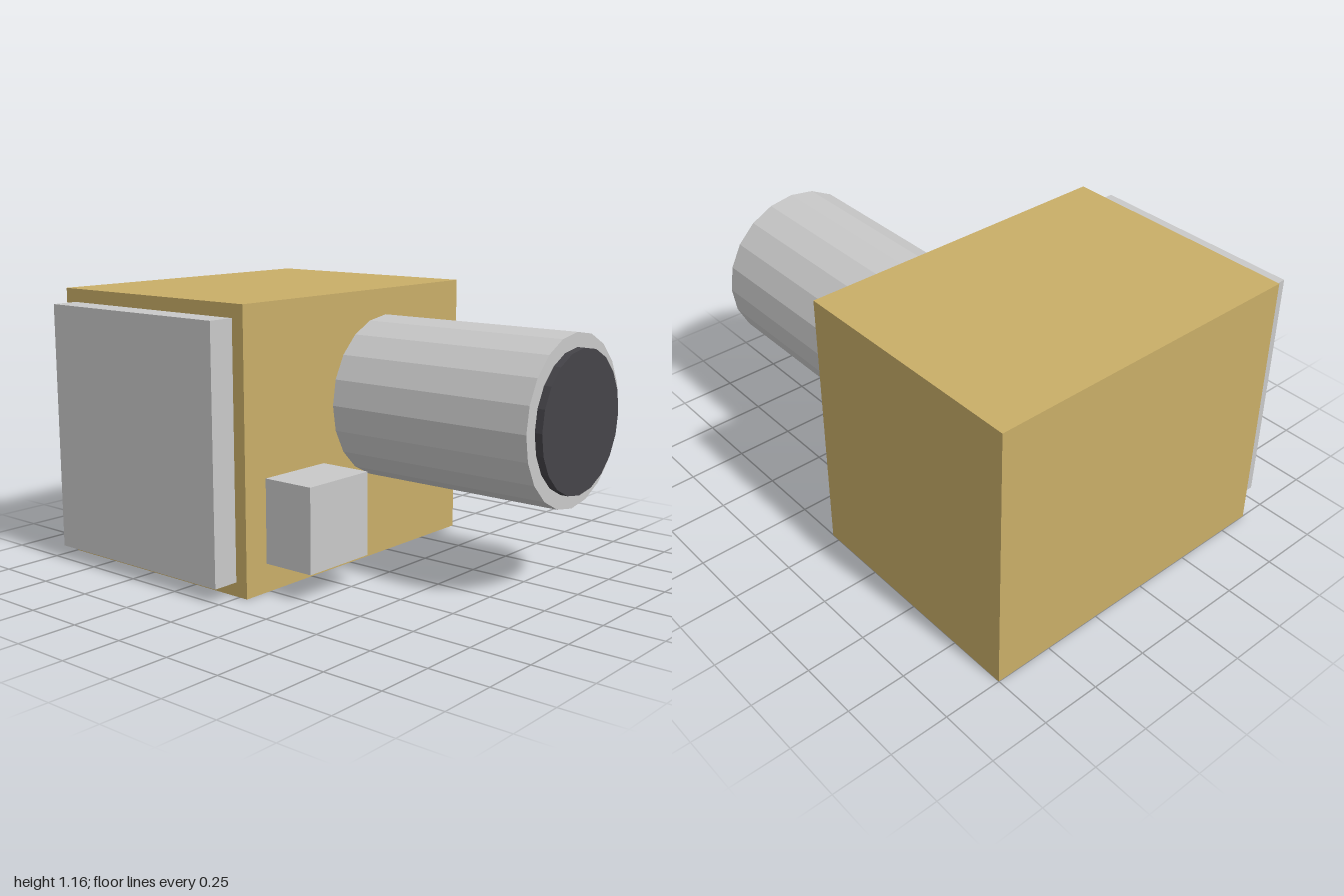
import * as THREE from 'three';

export function createModel() {
  const group = new THREE.Group();
  const material = (name, color) => {
    const m = new THREE.MeshStandardMaterial({ color, flatShading: true });
    m.name = name;
    return m;
  };
  const tan = material('tan', 0xc9ae68);
  const silver = material('silver', 0xc9c9c9);
  const charcoal = material('charcoal', 0x454449);

  // Box given by its minimum and maximum corners
  const box = (name, mat, min, max) => {
    const size = max.map((v, i) => v - min[i]);
    const mesh = new THREE.Mesh(new THREE.BoxGeometry(...size), mat);
    mesh.position.set(...min.map((v, i) => v + size[i] / 2));
    mesh.name = name;
    group.add(mesh);
  };

  // Twenty-sided cylinder along z, sharing the barrel's axis
  const tube = (name, mat, radius, z0, z1) => {
    const geometry = new THREE.CylinderGeometry(radius, radius, z1 - z0, 20).rotateX(Math.PI / 2);
    const mesh = new THREE.Mesh(geometry, mat);
    mesh.position.set(0.231, 0.697, (z0 + z1) / 2);
    mesh.name = name;
    group.add(mesh);
  };

  box('body', tan, [-0.636, 0, -1], [0.751, 1.156, 0.04]);
  box('sidePanel', silver, [-0.751, 0.058, -0.942], [-0.636, 1.1, -0.017]);
  box('frontBlock', silver, [-0.522, 0.119, 0.04], [-0.175, 0.466, 0.272]);
  tube('barrel', silver, 0.347, 0.04, 0.968);
  tube('lens', charcoal, 0.289, 0.968, 1);

  return group;
}
